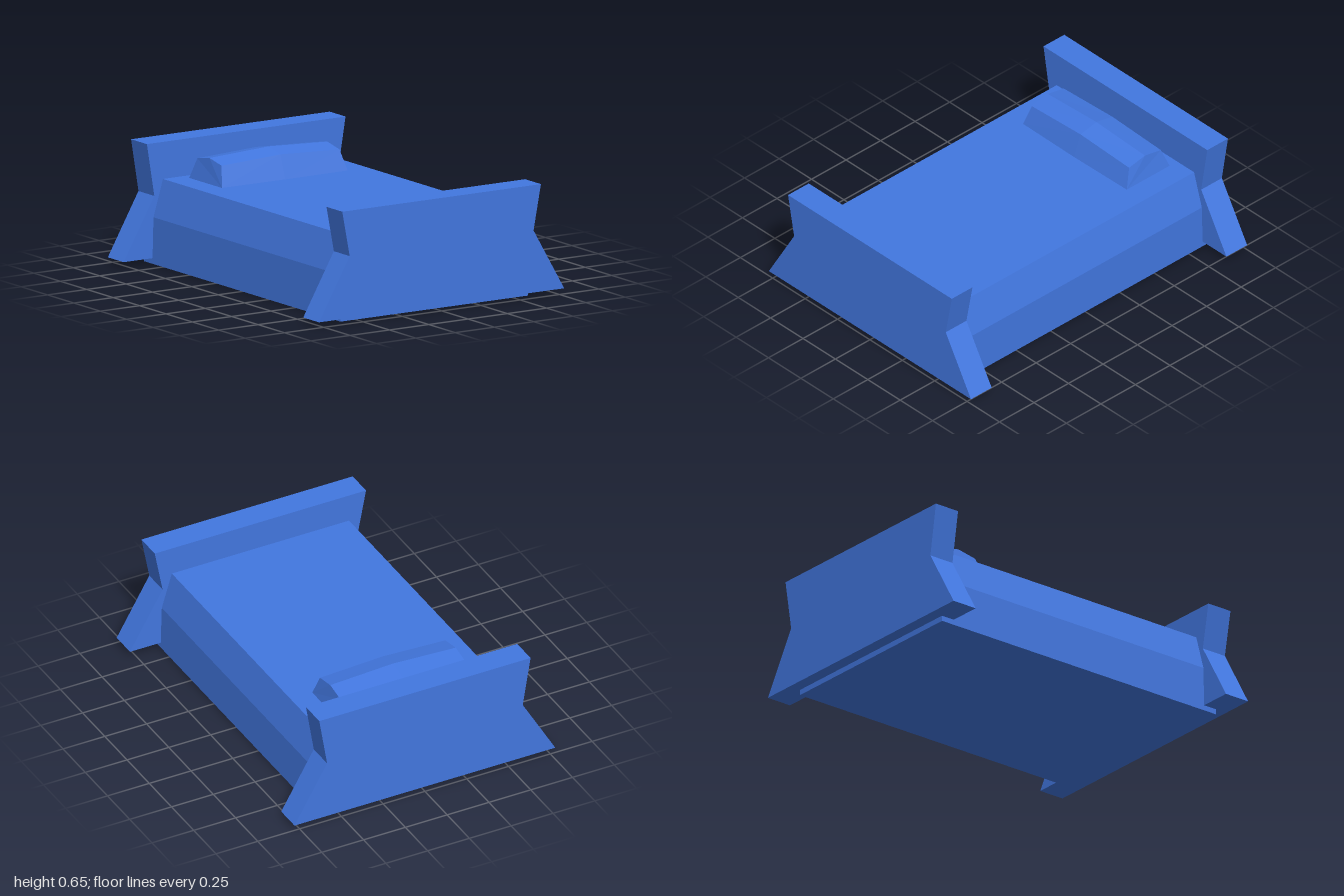
import * as THREE from 'three';

const material = new THREE.MeshStandardMaterial({ color: 0x4277e0, flatShading: true });

// Extrudes a profile mirrored across x = 0 from z0 to z1; half runs bottom to top
function mirroredSlab(name, half, z0, z1) {
  const left = half.map(([x, y]) => new THREE.Vector2(-x, y)).reverse();
  const right = half.map(([x, y]) => new THREE.Vector2(x, y));
  const geometry = new THREE.ExtrudeGeometry(new THREE.Shape([...right, ...left]), {
    depth: z1 - z0, bevelEnabled: false,
  });
  geometry.translate(0, 0, z0);
  const mesh = new THREE.Mesh(geometry, material);
  mesh.name = name;
  return mesh;
}

// Waisted end board
function endBoard(name, top, z0, z1) {
  return mirroredSlab(name, [[0.78, 0.03], [0.585, 0.365], [0.632, top]], z0, z1);
}

// Pillow lofted through three cross-sections, highest in the middle
function pillow() {
  const zMid = -0.64;
  const section = (xBase, xTop, baseHalf, edgeY, ridgeY) => [
    [xBase, 0.45, zMid + baseHalf], [xTop, edgeY, zMid + 0.115], [xTop, ridgeY, zMid],
    [xTop, edgeY, zMid - 0.115], [xBase, 0.45, zMid - baseHalf],
  ];
  const rings = [
    section(-0.4, -0.375, 0.155, 0.56, 0.582),
    section(0, 0, 0.16, 0.577, 0.6),
    section(0.4, 0.375, 0.155, 0.56, 0.582),
  ];
  const n = rings[0].length;
  const index = [];
  for (let i = 0; i < rings.length - 1; i++) {
    for (let j = 0; j < n; j++) {
      const a = i * n + j, d = i * n + (j + 1) % n;
      index.push(a, a + n, d + n, a, d + n, d);
    }
  }
  // End caps
  const last = (rings.length - 1) * n;
  for (let j = 1; j < n - 1; j++) {
    index.push(0, j, j + 1, last, last + j + 1, last + j);
  }
  const indexed = new THREE.BufferGeometry();
  indexed.setAttribute('position', new THREE.Float32BufferAttribute(rings.flat(2), 3));
  indexed.setIndex(index);
  const geometry = indexed.toNonIndexed();
  geometry.computeVertexNormals();
  const mesh = new THREE.Mesh(geometry, material);
  mesh.name = 'pillow';
  return mesh;
}

export function createModel() {
  const bed = new THREE.Group();
  bed.name = 'bed';
  bed.add(
    mirroredSlab('mattress', [[0.597, 0], [0.59, 0.25], [0.53, 0.45]], -0.93, 0.93),
    endBoard('headboard', 0.65, -1, -0.85),
    endBoard('footboard', 0.61, 0.85, 1),
    pillow(),
  );
  return bed;
}
